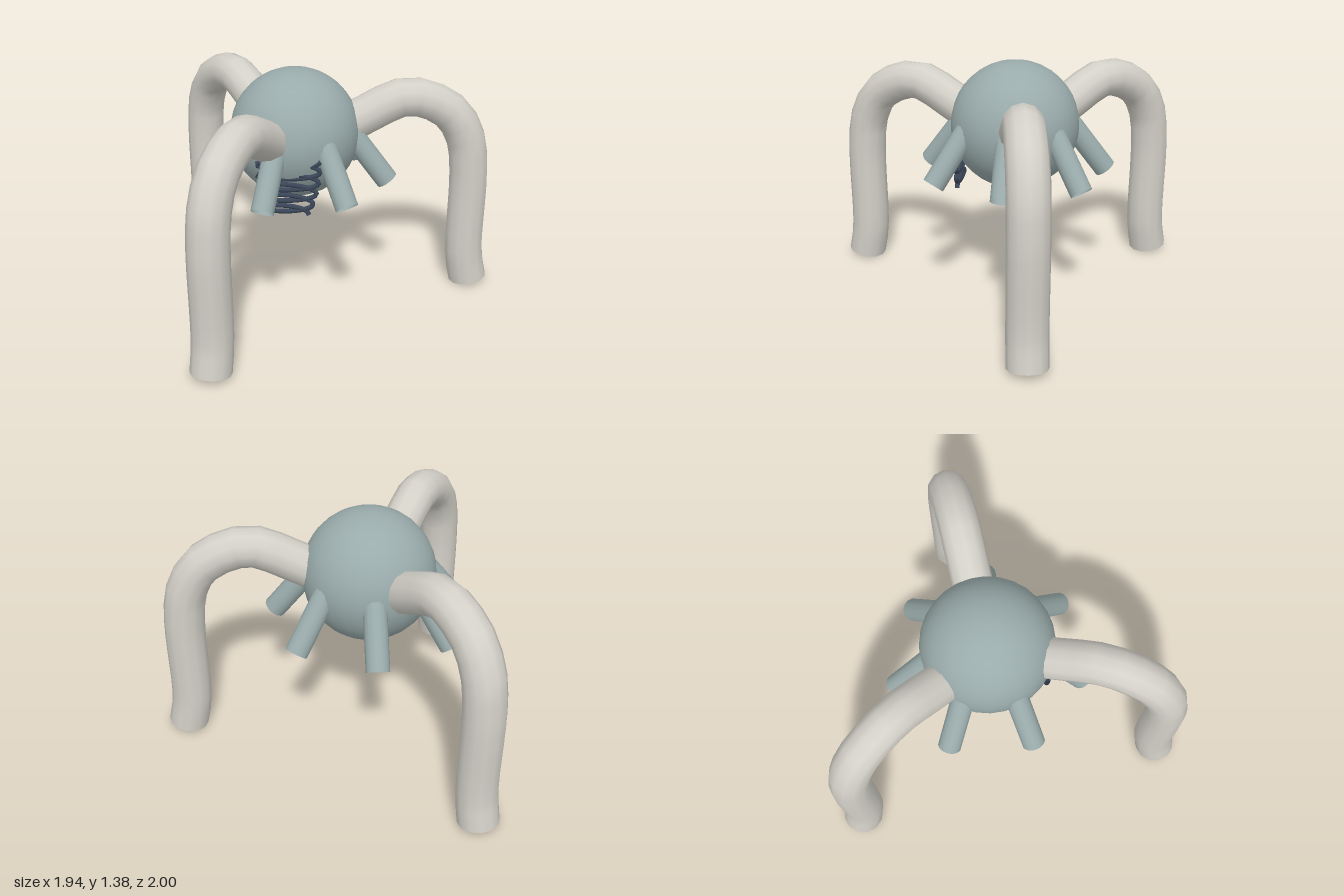
import * as THREE from 'three';

export function createModel() {
  const mat = (name, color, side = THREE.FrontSide) => {
    const m = new THREE.MeshStandardMaterial({ color, side });
    m.name = name;
    return m;
  };
  const bodyGrey = mat('body grey', 0x9aabab, THREE.DoubleSide);
  const legIvory = mat('leg ivory', 0xd3d0c8, THREE.DoubleSide);
  const springBlue = mat('spring dark blue', 0x3a4658);

  const model = new THREE.Group();
  model.name = 'tripodWalker';

  // everything hangs around the centre of the ball
  const core = new THREE.Group();
  core.name = 'core';
  core.position.set(-0.17, 1.02, -0.105);
  model.add(core);

  const add = (name, geometry, material, parent = core) => {
    const mesh = new THREE.Mesh(geometry, material);
    mesh.name = name;
    parent.add(mesh);
    return mesh;
  };

  add('body', new THREE.SphereGeometry(0.368, 28, 20), bodyGrey);

  // three arched legs: one path in the radial plane, turned by thirds
  const legPath = new THREE.CatmullRomCurve3([
    [0.24, 0.0], [0.4, 0.085], [0.65, 0.185], [0.89, 0.09], [0.99, -0.07],
    [1.02, -0.27], [1.02, -0.82], [1.05, -0.988],
  ].map(([r, y]) => new THREE.Vector3(r, y, 0)));
  const legGeometry = new THREE.TubeGeometry(legPath, 18, 0.113, 12);
  for (let i = 0; i < 3; i++) {
    const leg = add('leg' + (i + 1), legGeometry, legIvory);
    leg.rotation.y = THREE.MathUtils.degToRad(11.5 - 120 * i);
  }

  // seven open nozzles slanting out and down
  const nozzleLength = 0.45;
  const nozzleGeometry = new THREE.CylinderGeometry(0.064, 0.064, nozzleLength, 14, 1, true);
  nozzleGeometry.translate(0, nozzleLength / 2, 0); // pivot at the outer end
  nozzleGeometry.rotateZ(THREE.MathUtils.degToRad(37));
  nozzleGeometry.translate(0.53, -0.28, 0);
  for (let i = 0; i < 7; i++) {
    add('nozzle' + (i + 1), nozzleGeometry, bodyGrey).rotation.y = (-i * Math.PI * 2) / 7;
  }

  // flat coil lying in one upright plane, narrowing downwards
  const turns = 5;
  const coil = [];
  for (let i = 0; i <= turns * 16; i++) {
    const t = i / (turns * 16);
    const a = t * turns * Math.PI * 2;
    const r = 0.18 - 0.068 * t * t;
    coil.push(new THREE.Vector3(r * Math.cos(a), -0.05 - 0.32 * t - 0.032 * Math.sin(a), 0));
  }
  const coilGeometry = new THREE.TubeGeometry(new THREE.CatmullRomCurve3(coil), 200, 0.014, 8);
  add('spring', coilGeometry, springBlue).position.z = 0.32;

  return model;
}
